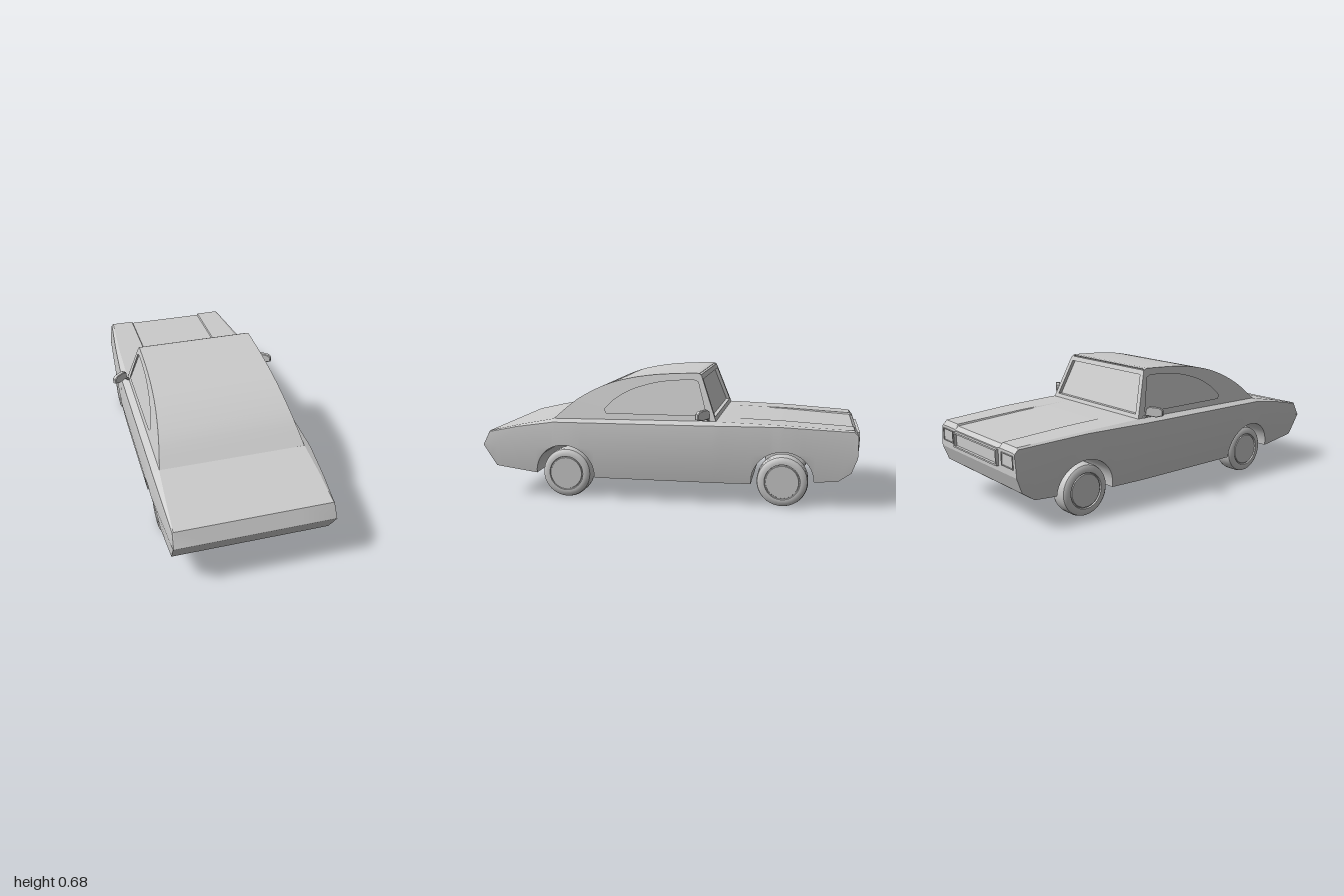
import * as THREE from 'three';
import { toCreasedNormals } from 'three/addons/utils/BufferGeometryUtils.js';

const grey = new THREE.MeshStandardMaterial({ color: 0xcccccc });
const V = (x, y) => new THREE.Vector2(x, y);

function part(name, geometry, crease = 0.4) {
  const mesh = new THREE.Mesh(toCreasedNormals(geometry, crease), grey);
  mesh.name = name;
  return mesh;
}

// Move every vertex by a rule
function warp(geometry, rule) {
  const p = geometry.attributes.position;
  for (let i = 0; i < p.count; i++) p.setXYZ(i, ...rule(p.getX(i), p.getY(i), p.getZ(i)));
  return geometry;
}

const extrude = (shape, depth) => new THREE.ExtrudeGeometry(shape, { depth, bevelEnabled: false });

// Interpolate rows of [z, ...values], z descending
function sample(rows, z) {
  let i = 0;
  while (i < rows.length - 2 && z < rows[i + 1][0]) i++;
  const [a, b] = [rows[i], rows[i + 1]];
  const f = THREE.MathUtils.clamp((z - a[0]) / (b[0] - a[0]), 0, 1);
  return a.slice(1).map((v, k) => THREE.MathUtils.lerp(v, b[k + 1], f));
}

const AXLES = [0.54, -0.61], HUB_Y = 0.135, ARCH = 0.16;

// z, top y, shoulder y, half widths of top, shoulder, waist, sill, bonnet recess
const SECTIONS = [
  [1, 0.282, 0.281, 0.4, 0.403, 0.405, 0.395, 0],
  [0.965, 0.355, 0.35, 0.395, 0.4, 0.408, 0.395, 0],
  [0.8, 0.393, 0.385, 0.39, 0.408, 0.418, 0.4, 0],
  [0.6, 0.43, 0.415, 0.38, 0.415, 0.43, 0.405, 0],
  [-0.25, 0.438, 0.42, 0.38, 0.415, 0.43, 0.405, 0],
  [-0.3, 0.437, 0.42, 0.38, 0.41, 0.426, 0.403, 0],
  [-0.6, 0.428, 0.42, 0.372, 0.392, 0.405, 0.385, 0.005],
  [-0.965, 0.408, 0.4, 0.35, 0.36, 0.374, 0.362, 0.009],
  [-0.985, 0.385, 0.38, 0.35, 0.36, 0.373, 0.36, 0.004],
];
// z, underside y
const UNDERSIDE = [[1, 0.278], [0.93, 0.165], [0.7, 0.135], [0.38, 0.12], [-0.45, 0.12],
  [-0.77, 0.138], [-0.89, 0.145], [-0.955, 0.19], [-0.985, 0.27]];

// Lower body lofted from cross-sections, wheel arches cut right across
function bodyGeometry() {
  const zs = [...SECTIONS, ...UNDERSIDE].map(r => r[0]);
  for (const c of AXLES)
    for (let i = 0; i <= 20; i++) zs.push(c + ARCH * Math.cos(Math.PI * i / 20));
  zs.sort((a, b) => b - a);
  const stations = zs.filter((z, i) => i === 0 || zs[i - 1] - z > 1e-4);

  const pos = [], index = [];
  for (const z of stations) {
    const [t, s, wt, ws, wm, wb, d] = sample(SECTIONS, z);
    let b = sample(UNDERSIDE, z)[0];
    for (const c of AXLES) {
      const dz = Math.abs(z - c);
      if (dz < ARCH) b = Math.max(b, HUB_Y + Math.sqrt(ARCH * ARCH - dz * dz));
    }
    const m = Math.max(0.28, b + 0.002);
    const sill = THREE.MathUtils.lerp(wb, wm, THREE.MathUtils.clamp((b - 0.12) / 0.16, 0, 1));
    const half = [[sill, b], [wm, m], [ws, s], [wt, t], [0.225, t], [0.22, t - d]];
    const ring = [...half, ...half.map(([x, y]) => [-x, y]).reverse()];
    ring.forEach(([x, y]) => pos.push(x, y, z));
  }
  const n = 12, last = (stations.length - 1) * n;
  for (let k = 0; k < stations.length - 1; k++)
    for (let i = 0; i < n; i++) {
      const a = k * n + i, b = k * n + (i + 1) % n;
      index.push(a, a + n, b + n, a, b + n, b);
    }
  for (let i = 1; i < n - 1; i++) {
    index.push(0, i, i + 1);
    index.push(last, last + i + 1, last + i);
  }
  const g = new THREE.BufferGeometry();
  g.setAttribute('position', new THREE.Float32BufferAttribute(pos, 3));
  g.setIndex(index);
  return g;
}

// Cabin: half width narrows with height, windscreen plane leans back
const cabinWidth = y => 0.377 - 0.06 * (y - 0.437) / 0.243;
const screenZ = y => -0.268 + 0.365 * (y - 0.43);
const SKIN = 0.012, INSET = 0.02;

function cabinShape(inset) {
  const roof = new THREE.SplineCurve([V(-0.605, 0.43), V(-0.5, 0.52), V(-0.4, 0.58), V(-0.3, 0.622),
    V(-0.2, 0.648), V(-0.1, 0.664), V(0, 0.673), V(0.155, 0.68)]).getPoints(32);
  return new THREE.Shape([...roof, V(0.17, 0.677), V(-screenZ(0.667) - inset, 0.667),
    V(-screenZ(0.43) - inset, 0.43)]);
}

// Extrude a side outline across x between two width rules
function across(shape, x0, x1) {
  return warp(extrude(shape, 1), (x, y, z) => [THREE.MathUtils.lerp(x0(y), x1(y), z), y, -x]);
}

function cabin() {
  const g = new THREE.Group();
  g.name = 'cabin';
  const inner = y => cabinWidth(y) - SKIN;
  g.add(part('roofAndGlass', across(cabinShape(INSET), y => -inner(y), inner)));

  const skin = cabinShape(0);
  const curve = new THREE.SplineCurve([V(-0.33, 0.485), V(-0.28, 0.535), V(-0.2, 0.583), V(-0.1, 0.617),
    V(0, 0.636), V(0.14, 0.646)]).getPoints(20);
  skin.holes.push(new THREE.Path([...curve, V(0.165, 0.635), V(0.215, 0.465), V(-0.32, 0.465)]));
  g.add(part('leftSideFrame', across(skin, inner, cabinWidth)));
  g.add(part('rightSideFrame', across(skin, y => -cabinWidth(y), y => -inner(y))));

  const trapezoid = (y0, y1, gap) => [V(-cabinWidth(y0) + gap, y0), V(cabinWidth(y0) - gap, y0),
    V(cabinWidth(y1) - gap, y1), V(-cabinWidth(y1) + gap, y1)];
  const frame = new THREE.Shape(trapezoid(0.43, 0.672, 0.002));
  frame.holes.push(new THREE.Path(trapezoid(0.457, 0.648, 0.026)));
  g.add(part('windscreenFrame', warp(extrude(frame, INSET + 0.002), (x, y, z) => [x, y, screenZ(y) + z])));
  return g;
}

// Rectangular frame on the nose
function noseFrame(name, x, y, w, h, rim, depth) {
  const rect = (a, b) => [V(-a, -b), V(a, -b), V(a, b), V(-a, b)];
  const s = new THREE.Shape(rect(w / 2, h / 2));
  s.holes.push(new THREE.Path(rect(w / 2 - rim, h / 2 - rim)));
  const mesh = part(name, extrude(s, depth + 0.002));
  mesh.position.set(x, y, -0.985 - depth);
  return mesh;
}

// Tyre with rounded shoulders and a slightly sunken hub disc, axis along x
function wheel(name, side, z) {
  const profile = [[0, -0.055], [0.1, -0.055], [0.118, -0.052], [0.128, -0.044], [0.132, -0.03],
    [0.132, 0.03], [0.128, 0.044], [0.118, 0.052], [0.1, 0.055], [0.092, 0.055], [0.09, 0.047],
    [0.086, 0.047], [0.084, 0.053], [0, 0.053]].map(p => V(...p));
  const mesh = part(name, new THREE.LatheGeometry(profile, 40), 0.6);
  mesh.rotation.z = -side * Math.PI / 2;
  mesh.position.set(side * 0.338, HUB_Y, z);
  return mesh;
}

function mirror(side) {
  const g = new THREE.Group();
  g.name = side > 0 ? 'leftMirror' : 'rightMirror';
  const outline = [[0, -0.018], [0.055, -0.024], [0.086, -0.016], [0.086, 0.008], [0.07, 0.02],
    [0.02, 0.024], [0.004, 0.014]].map(([x, y]) => V(side * x, y));
  const head = part('mirrorHead', new THREE.ExtrudeGeometry(new THREE.Shape(outline),
    { depth: 0.016, bevelEnabled: true, bevelSize: 0.003, bevelThickness: 0.004, bevelSegments: 1 }));
  head.position.set(side * 0.4, 0.477, -0.235);
  head.rotation.y = -side * 0.6;
  const path = new THREE.LineCurve3(new THREE.Vector3(side * 0.365, 0.432, -0.23),
    new THREE.Vector3(side * 0.415, 0.472, -0.218));
  g.add(head, part('mirrorStem', new THREE.TubeGeometry(path, 1, 0.007, 6), 1));
  return g;
}

export function createModel() {
  const car = new THREE.Group();
  car.name = 'car';
  car.add(part('body', bodyGeometry(), 0.3), cabin());
  car.add(noseFrame('grilleFrame', 0, 0.335, 0.43, 0.08, 0.008, 0.015));
  for (const side of [1, -1]) {
    const label = side > 0 ? 'left' : 'right';
    car.add(noseFrame(label + 'Headlight', side * 0.295, 0.338, 0.105, 0.066, 0.005, 0.004));
    AXLES.forEach((z, i) => car.add(wheel(label + (i ? 'BonnetEndWheel' : 'BootEndWheel'), side, z)));
    car.add(mirror(side));
  }
  return car;
}
